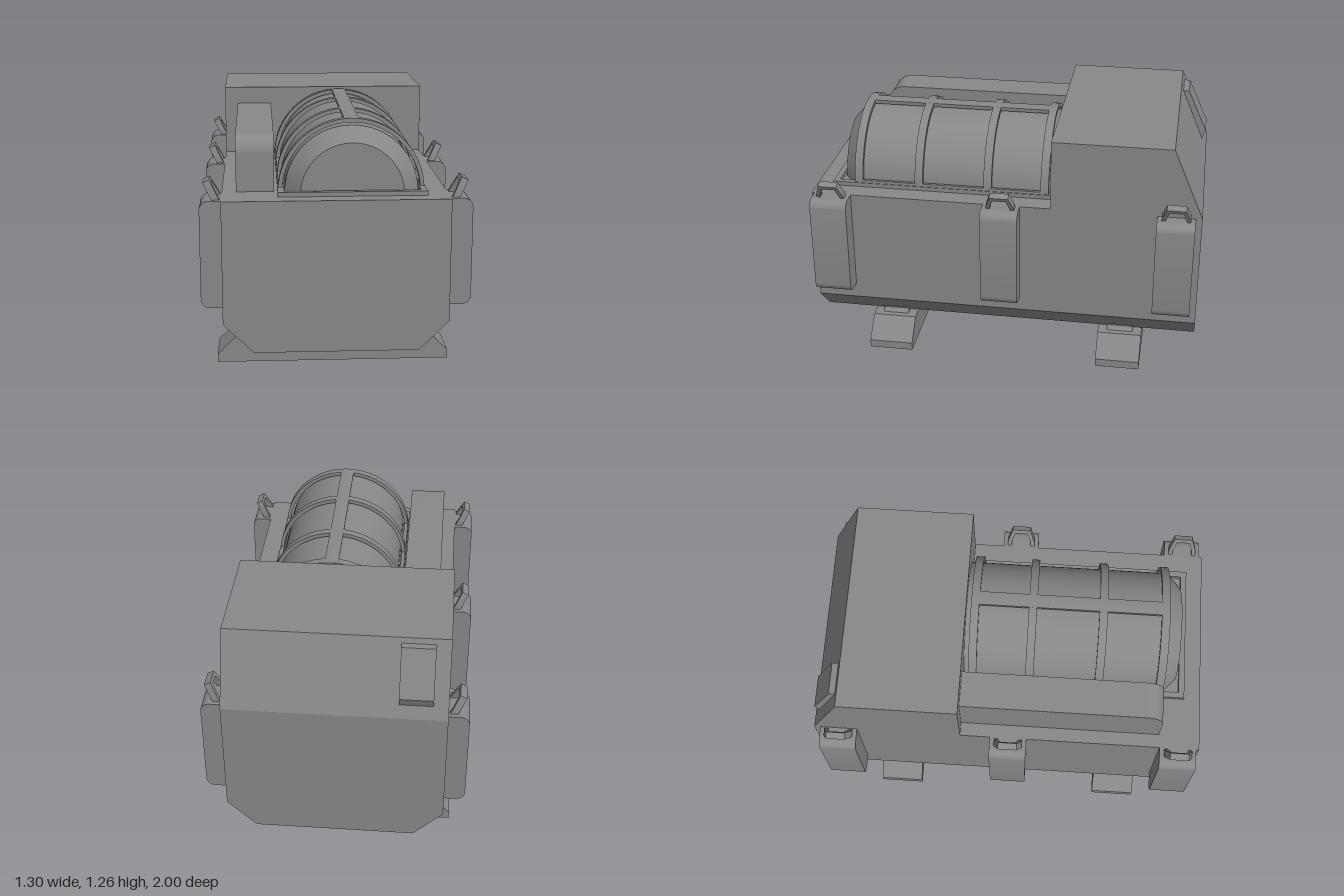
import * as THREE from 'three';
import { toCreasedNormals } from 'three/addons/utils/BufferGeometryUtils.js';

const DECK = 0.895;
const TANK_X = 0.083;

export function createModel() {
  const model = new THREE.Group();
  model.name = 'machineUnit';
  const grey = new THREE.MeshStandardMaterial({ color: 0x888888 });
  grey.name = 'grey';

  const add = (parent, name, geometry, x = 0, y = 0, z = 0) => {
    const mesh = new THREE.Mesh(geometry, grey);
    mesh.name = name;
    mesh.position.set(x, y, z);
    parent.add(mesh);
    return mesh;
  };
  const poly = (pts) => new THREE.Shape(pts.map(([x, y]) => new THREE.Vector2(x, y)));
  // Extrusion centred along z
  const extrude = (shape, depth) => {
    const g = new THREE.ExtrudeGeometry(shape, { depth, bevelEnabled: false, curveSegments: 24 });
    g.translate(0, 0, -depth / 2);
    return toCreasedNormals(g, 0.5);
  };
  // Side profile given as (z, y), extruded along x
  const extrudeX = (shape, width) => extrude(shape, width).rotateY(-Math.PI / 2);

  // Main hull with chamfered lower edges
  add(model, 'hull', extrude(poly([
    [-0.4, 0.145], [0.4, 0.145], [0.547, 0.29], [0.547, DECK],
    [-0.547, DECK], [-0.547, 0.29],
  ]), 2));

  // Raised rear housing with a sloped back
  add(model, 'rearHousing', extrudeX(poly([
    [-1, DECK], [-0.24, DECK], [-0.24, 1.26], [-0.845, 1.26],
  ]), 1.094));
  // Bevelled hatch on the slope
  add(model, 'rearHatch', extrudeX(poly([
    [-0.85, 1.235], [-0.888, 1.232], [-0.992, 1.005], [-0.972, 0.955], [-0.9, 1.0],
  ]), 0.165), -0.392);

  // Long side duct, rounded at its front top edge
  const duct = new THREE.Shape();
  duct.moveTo(-0.24, DECK);
  duct.lineTo(0.79, DECK);
  duct.lineTo(0.79, 1.08);
  duct.absarc(0.7, 1.08, 0.09, 0, Math.PI / 2, false);
  duct.lineTo(-0.24, 1.17);
  add(model, 'sideDuct', extrudeX(duct, 0.185), -0.385);

  // Half-round tank with a tapered front end
  const tank = new THREE.Group();
  tank.name = 'tank';
  tank.position.set(TANK_X, DECK, 0);
  model.add(tank);
  const halfCylinder = (rFront, rBack, length) =>
    new THREE.CylinderGeometry(rFront, rBack, length, 40, 1, false, Math.PI / 2, Math.PI).rotateX(Math.PI / 2);
  add(tank, 'tankShell', halfCylinder(0.325, 0.325, 1.04), 0, 0, 0.28);
  add(tank, 'tankEnd', halfCylinder(0.25, 0.325, 0.07), 0, 0, 0.835);

  // Frame around the tank foot
  const frame = poly([[-0.36, -0.915], [0.36, -0.915], [0.36, 0.24], [-0.36, 0.24]]);
  frame.holes.push(poly([[-0.33, -0.885], [-0.33, 0.235], [0.33, 0.235], [0.33, -0.885]]));
  add(tank, 'tankFrame', extrude(frame, 0.022).rotateX(-Math.PI / 2), 0, 0.011, 0);

  // Cage: hoops and lengthwise bars standing just off the tank
  const arcBand = (a0, a1, length) => {
    const s = new THREE.Shape();
    s.absarc(0, 0, 0.357, a0, a1, false);
    s.absarc(0, 0, 0.337, a1, a0, true);
    return extrude(s, length);
  };
  for (const z of [-0.195, 0.1, 0.46, 0.777])
    add(tank, 'cageHoop', arcBand(0, Math.PI, 0.042), 0, 0, z);
  for (const [a0, a1] of [[0, 0.1], [Math.PI / 2 - 0.1, Math.PI / 2 + 0.1], [Math.PI - 0.1, Math.PI]])
    add(tank, 'cageBar', arcBand(a0, a1, 0.98), 0, 0, 0.29);

  // Side pods, each with a handle leaning outwards
  const pod = new THREE.Shape();
  pod.moveTo(0.54, 0.37);
  pod.lineTo(0.605, 0.37);
  pod.absarc(0.605, 0.415, 0.045, -Math.PI / 2, 0, false);
  pod.absarc(0.605, 0.85, 0.045, 0, Math.PI / 2, false);
  pod.lineTo(0.54, DECK);
  const podGeometry = extrude(pod, 0.19);
  const handleGeometry = extrudeX(poly([
    [-0.072, -0.02], [-0.052, -0.02], [-0.052, 0.015], [-0.034, 0.075],
    [0.034, 0.075], [0.052, 0.015], [0.052, -0.02], [0.072, -0.02],
    [0.072, 0.02], [0.048, 0.097], [-0.048, 0.097], [-0.072, 0.02],
  ]), 0.035);
  for (const side of [1, -1]) {
    for (const z of [0.89, 0.01, -0.872]) {
      const unit = new THREE.Group();
      unit.name = side > 0 ? 'leftPod' : 'rightPod';
      unit.position.z = z;
      unit.rotation.y = side > 0 ? 0 : Math.PI;
      model.add(unit);
      add(unit, 'podBody', podGeometry);
      add(unit, 'podHandle', handleGeometry, 0.572, DECK, 0).rotation.z = -0.47;
    }
  }

  // Hollow feet, open underneath, with a mounting block on top
  const outer = [[0.583, 0], [0.583, 0.042], [0.48, 0.145], [-0.48, 0.145], [-0.583, 0.042], [-0.583, 0]];
  const inner = [[-0.575, 0], [-0.575, 0.039], [-0.477, 0.137], [0.477, 0.137], [0.575, 0.039], [0.575, 0]];
  const shellGeometry = extrude(poly([...outer, ...inner]), 0.23);
  const wallGeometry = extrude(poly(outer), 0.008);
  const mountGeometry = extrude(poly([
    [-0.45, 0.144], [0.45, 0.144], [0.43, 0.165], [-0.43, 0.165],
  ]), 0.135);
  for (const z of [0.612, -0.608]) {
    const foot = new THREE.Group();
    foot.name = z > 0 ? 'frontFoot' : 'rearFoot';
    foot.position.z = z;
    model.add(foot);
    add(foot, 'footShell', shellGeometry);
    for (const s of [1, -1]) add(foot, 'footWall', wallGeometry, 0, 0, s * 0.111);
    add(foot, 'footMount', mountGeometry);
  }

  return model;
}
